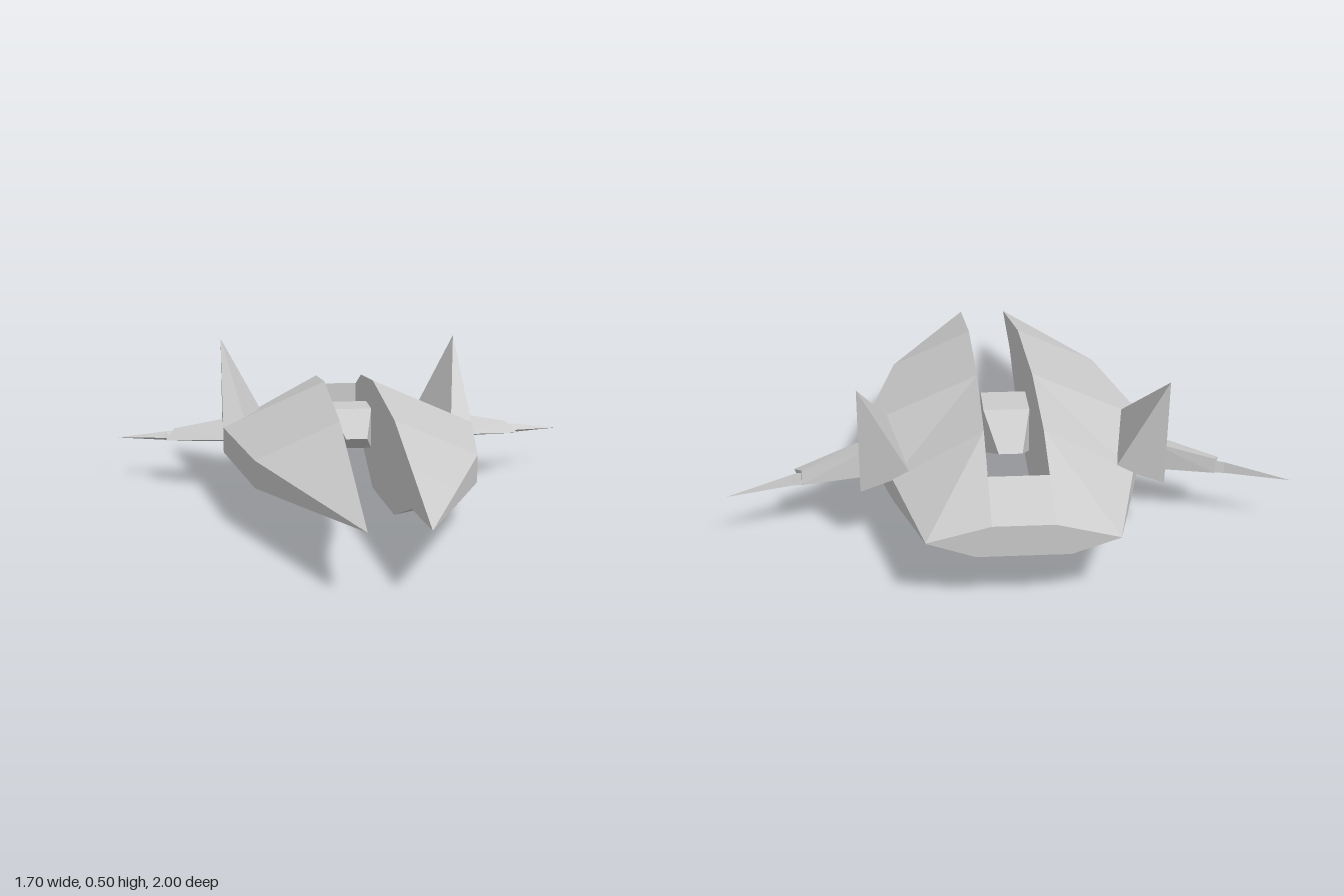
import * as THREE from 'three';

const material = new THREE.MeshStandardMaterial({
  color: 0xcccccc, flatShading: true, side: THREE.DoubleSide,
});

// Faceted solid skinned over rings of [x, y, z] corners, capped at both ends.
function loft(name, rings, mirror = 1) {
  const P = rings.map(r => r.map(([x, y, z]) => new THREE.Vector3(x * mirror, y, z)));
  const n = P[0].length, tris = [];
  for (let i = 0; i < P.length - 1; i++) {
    for (let j = 0; j < n; j++) {
      const k = (j + 1) % n;
      tris.push([P[i][j], P[i + 1][j], P[i + 1][k]], [P[i][j], P[i + 1][k], P[i][k]]);
    }
  }
  const a = P[0], b = P[P.length - 1];
  for (let j = 1; j < n - 1; j++) tris.push([a[0], a[j], a[j + 1]], [b[0], b[j + 1], b[j]]);

  // Drop collapsed triangles and turn the skin outward.
  const solid = tris.filter(t => new THREE.Triangle(...t).getArea() > 1e-7);
  const volume = solid.reduce((v, [p, q, r]) => v + p.dot(q.clone().cross(r)), 0);
  if (volume < 0) solid.forEach(t => t.reverse());
  const geometry = new THREE.BufferGeometry().setFromPoints(solid.flat());
  geometry.computeVertexNormals();
  const mesh = new THREE.Mesh(geometry, material);
  mesh.name = name;
  return mesh;
}

const INNER = 0.087;

// Hull section: inner top, outer upper edge, outer lower edge, chine, keel.
const hullRing = (z, top, outer, upper, lower, chineX, chineY, keel) => [
  [INNER, top, z], [outer, upper, z], [outer, lower, z], [chineX, chineY, z], [INNER, keel, z],
];

const hull = [
  hullRing(1, 0.2, INNER, 0.2, 0.2, INNER, 0.2, 0.2),
  hullRing(0.64, 0.28, 0.222, 0.22, 0.175, 0.15, 0.17, 0.165),
  hullRing(0.275, 0.36, 0.358, 0.24, 0.15, 0.25, 0.113, 0.05),
  hullRing(-0.275, 0.4, 0.45, 0.24, 0.15, 0.27, 0.115, 0.005),
  hullRing(-0.64, 0.365, 0.355, 0.218, 0.15, 0.22, 0.138, 0.12),
  hullRing(-1, 0.24, 0.265, 0.196, 0.195, 0.13, 0.15, 0.15),
];

// Wing: leading edge, crest, underside rear.
const wing = [
  [[0.44, 0.195, -0.277], [0.44, 0.237, -0.465], [0.44, 0.15, -0.468]],
  [[0.66, 0.165, -0.43], [0.63, 0.195, -0.51], [0.63, 0.15, -0.515]],
];
const wingSpike = [
  [[0.64, 0.165, -0.455], [0.62, 0.186, -0.505], [0.63, 0.15, -0.512]],
  [[0.67, 0.165, -0.483], [0.66, 0.184, -0.512], [0.66, 0.15, -0.517]],
  [[0.85, 0.15, -0.583], [0.85, 0.15, -0.583], [0.85, 0.15, -0.583]],
];

// Fin: four-cornered base rising to a swept point.
const fin = [
  [[0.45, 0.235, -0.278], [0.375, 0.273, -0.28], [0.302, 0.235, -0.64], [0.45, 0.18, -0.636]],
  Array(4).fill([0.45, 0.51, -0.663]),
];

// Rectangular section centred on x = 0.
const box = (z, w, y0, y1) => [[-w, y1, z], [w, y1, z], [w, y0, z], [-w, y0, z]];

export function createModel() {
  const model = new THREE.Group();
  model.name = 'spacecraft';

  for (const [side, s] of [['left', 1], ['right', -1]]) {
    model.add(
      loft(side + 'Hull', hull, s),
      loft(side + 'Wing', wing, s),
      loft(side + 'WingSpike', wingSpike, s),
      loft(side + 'Fin', fin, s),
    );
  }

  // Stern block joining the two hulls.
  model.add(loft('sternBridge', [
    box(-0.82, INNER, 0.136, 0.303),
    box(-1, INNER, 0.15, 0.24),
  ]));

  // Core pod floating in the slot, pinched to an edge at both ends.
  model.add(loft('corePod', [
    box(-0.02, 0.036, 0.24, 0.24),
    box(-0.2, 0.072, 0.17, 0.312),
    box(-0.352, 0.072, 0.17, 0.312),
    box(-0.53, 0.036, 0.24, 0.24),
  ]));

  return model;
}
